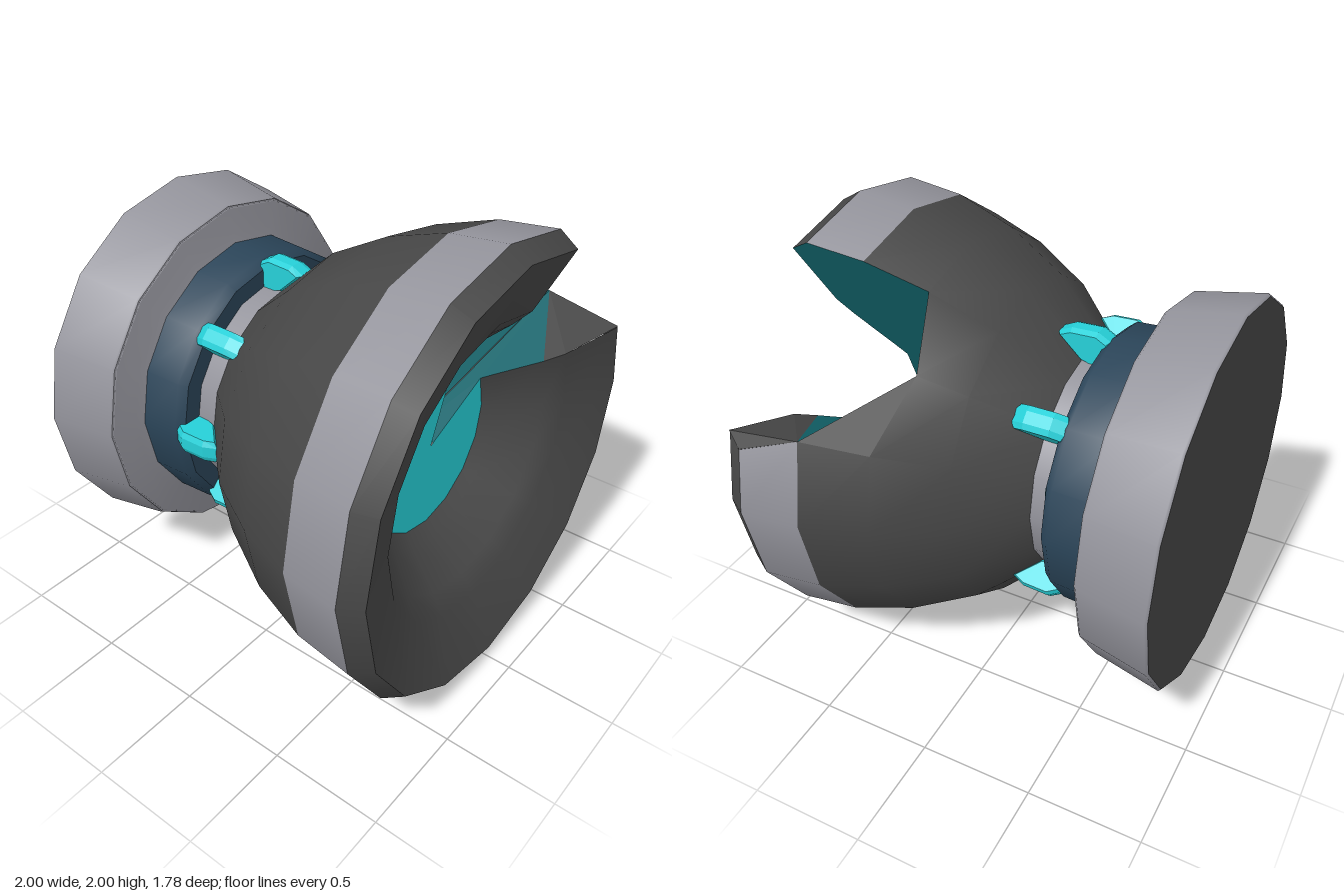
import * as THREE from 'three';

const mat = (name, color, side = THREE.FrontSide) => {
  const m = new THREE.MeshStandardMaterial({ color, side });
  m.name = name;
  return m;
};
const RAD = Math.PI / 180;

export function createModel() {
  const charcoal = mat('charcoal', 0x474747, THREE.DoubleSide);
  const grey = mat('grey', 0x94949c);
  const cyan = mat('cyan', 0x26d0d8);
  const navy = mat('navy', 0x2a4458);
  const teal = mat('teal', 0x11636a, THREE.DoubleSide);

  // Everything turns around the z axis through the origin, then is lifted
  const group = new THREE.Group();
  const model = new THREE.Group();
  model.name = 'brokenHorn';
  model.position.y = 1;
  group.add(model);

  const add = (name, geometry, material, parent = model) => {
    const mesh = new THREE.Mesh(geometry, material);
    mesh.name = name;
    parent.add(mesh);
    return mesh;
  };

  // Lathe around z from [radius, z] points, starting at an angle in degrees
  const turn = (profile, start = 0, sweep = 360) => {
    const pts = profile.map(([r, z]) => new THREE.Vector2(r, z));
    const g = new THREE.LatheGeometry(pts, Math.round(sweep / 22.5), (start + 90) * RAD, sweep * RAD);
    return g.rotateX(Math.PI / 2);
  };

  // Pull the last column of a lathe back where the rim is chipped
  const chip = (g, profile) => {
    const p = g.attributes.position, n = profile.length;
    profile.forEach(([r, z], i) => {
      const t = r < 0.9 ? 0 : z > 0.85 ? 0.15 : z > 0.7 ? 0.27 : 0;
      const a = new THREE.Vector3().fromBufferAttribute(p, p.count - n + i);
      const b = new THREE.Vector3().fromBufferAttribute(p, p.count - 2 * n + i);
      a.lerp(b, t);
      p.setXYZ(p.count - n + i, a.x, a.y, a.z);
    });
    return g;
  };

  // Flat polygon in the plane through the axis at a given angle
  const radialWall = (profile, angle) => {
    const g = new THREE.ShapeGeometry(new THREE.Shape(profile.map(([r, z]) => new THREE.Vector2(r, z))));
    return g.rotateX(Math.PI / 2).scale(1, -1, 1).rotateZ(angle * RAD);
  };

  // Fan of flat triangles from corner points
  const fan = (...pts) => {
    const tri = [];
    for (let i = 1; i < pts.length - 1; i++) tri.push(...pts[0], ...pts[i], ...pts[i + 1]);
    const g = new THREE.BufferGeometry();
    g.setAttribute('position', new THREE.Float32BufferAttribute(tri, 3));
    g.computeVertexNormals();
    return g;
  };
  const polar = (r, deg, z) => [r * Math.cos(deg * RAD), r * Math.sin(deg * RAD), z];

  // Horn: outer shell, grey band, lip and mouth, open between 22.5 and 67.5 degrees
  const shell = [[0.49, -0.26], [0.73, 0], [0.88, 0.27], [0.97, 0.54]];
  const band = [[0.97, 0.54], [1, 0.8]];
  const lip = [[1, 0.8], [0.945, 0.89]];
  const mouth = [[0.945, 0.89], [0.67, 0.785], [0.595, 0.72], [0.45, 0.57], [0.4, 0.52]];
  add('hornShell', turn(shell, 67.5, 315), charcoal);
  add('hornBand', chip(turn(band, 67.5, 315), band), grey);
  add('hornLip', chip(turn(lip, 67.5, 315), lip), charcoal);
  add('hornMouth', chip(turn(mouth, 67.5, 315), mouth), charcoal);
  add('glowingDisc', new THREE.CircleGeometry(0.4, 14, 67.5 * RAD, 315 * RAD), cyan).position.z = 0.52;

  // Shell behind the break, with its middle corner broken further back
  const rear = turn(shell.slice(0, 3), 22.5, 45);
  rear.attributes.position.setZ(5, 0.16);
  add('shellBehindBreak', rear, charcoal);
  const mid = polar(0.88, 45, 0.16);
  const low = polar(0.97, 22.5, 0.54);
  const high = polar(0.88, 67.5, 0.27);
  add('shellCorner', fan(mid, polar(0.88, 22.5, 0.27), low), charcoal);

  // Faces of the break
  const deep = polar(0.025, 45, 0.4);
  const inner = mouth.slice(1).reverse();
  add('breakUpperWall', radialWall([[0.02, 0.4], [0.02, 0.52], ...inner, [0.945, 0.89],
    [1, 0.8], [0.97, 0.54], [0.88, 0.27]], 67.5), teal);
  add('breakLowerWall', radialWall([[0.02, 0.4], [0.02, 0.52], ...inner.slice(0, 3), [0.97, 0.54]], 22.5), teal);
  add('breakBackUpper', fan(deep, mid, high), teal);
  add('breakBackLower', fan(deep, low, mid), teal);
  add('chippedRim', fan(low, polar(0.595, 22.5, 0.72), polar(0.67, 22.5, 0.785),
    [0.889, 0.31, 0.89], [0.944, 0.28, 0.8]), charcoal);

  // Neck and collar
  add('neck', turn([[0.5, -0.56], [0.5, -0.25]]), grey);
  add('collarFront', turn([[0.58, -0.34], [0.48, -0.34]]), navy);
  add('collar', turn([[0.62, -0.56], [0.61, -0.375], [0.58, -0.34]]), navy);

  // Base drum
  add('baseFront', turn([[0.78, -0.575], [0.66, -0.555], [0.6, -0.54]]), grey);
  add('baseSide', turn([[0.83, -0.89], [0.84, -0.88], [0.785, -0.585], [0.77, -0.572]]), grey);
  add('baseBack', turn([[0, -0.89], [0.83, -0.89]]), charcoal);

  // Seven pegs around the neck, the eighth is broken off
  const side = [[0.47, -0.355], [0.5, -0.25], [0.59, -0.155], [0.61, -0.2], [0.615, -0.31], [0.59, -0.355]];
  const pegShape = new THREE.Shape(side.map(([r, z]) => new THREE.Vector2(r, z)));
  const pegGeo = new THREE.ExtrudeGeometry(pegShape, {
    depth: 0.05, bevelEnabled: true, bevelSegments: 1, bevelSize: 0.012, bevelThickness: 0.025,
  });
  pegGeo.translate(0, 0, -0.025).rotateX(Math.PI / 2);
  for (let i = 1; i < 8; i++) add('peg' + i, pegGeo, cyan).rotation.z = i * 45 * RAD;
  add('pegStump', new THREE.BoxGeometry(0.04, 0.17, 0.02), teal).position.set(0.49, 0.1, -0.333);

  return group;
}
